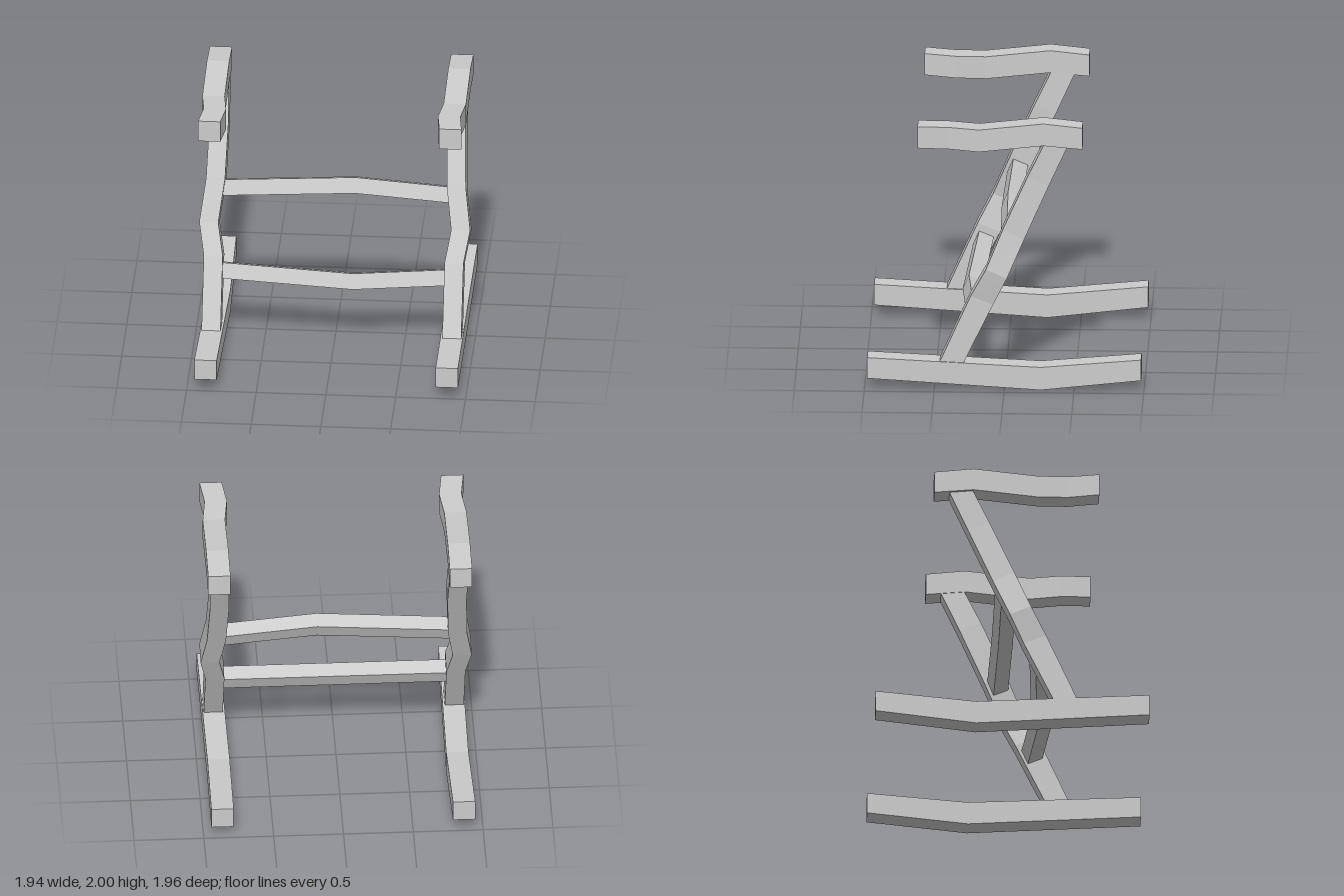
import * as THREE from 'three';

const material = new THREE.MeshStandardMaterial({ color: 0xcccccc, flatShading: true });

// Closed four-sided beam through cross-sections, corners anticlockwise about the travel direction
function beam(name, sections) {
  const positions = [];
  const quad = (a, b, c, d) => [a, b, c, a, c, d].forEach(p => positions.push(...p));
  for (let i = 0; i < sections.length - 1; i++) {
    const s = sections[i], t = sections[i + 1];
    for (let j = 0; j < 4; j++) {
      const k = (j + 1) % 4;
      quad(s[j], s[k], t[k], t[j]);
    }
  }
  const first = sections[0], last = sections[sections.length - 1];
  quad(first[0], first[3], first[2], first[1]);
  quad(last[0], last[1], last[2], last[3]);

  const geometry = new THREE.BufferGeometry();
  geometry.setAttribute('position', new THREE.Float32BufferAttribute(positions, 3));
  geometry.computeVertexNormals();
  const mesh = new THREE.Mesh(geometry, material);
  mesh.name = name;
  return mesh;
}

// Mirror a left-hand beam to the right; the travel reverses to keep faces outward
const mirrored = sections =>
  sections.map(s => s.map(([x, y, z]) => [-x, y, z])).reverse();

// Front-to-back bars: points are [centre x, bottom y, top y, z], listed from the back
const lengthwise = points => points.map(([x, y0, y1, z]) => [
  [x - 0.08, y0, z], [x + 0.08, y0, z], [x + 0.08, y1, z], [x - 0.08, y1, z],
]);

// Leaning posts: points are [centre x, front z, front y, back z, back y], listed from the foot
const upright = points => points.map(([x, zf, yf, zb, yb]) => [
  [x - 0.068, yb, zb], [x - 0.068, yf, zf], [x + 0.068, yf, zf], [x + 0.068, yb, zb],
]);

// Tilted square cross rail: points are [x, y, z] of the section centre
const crosswise = points => points.map(([x, y, z]) => [
  [x, y + 0.075, z + 0.03], [x, y - 0.03, z + 0.075],
  [x, y - 0.075, z - 0.03], [x, y + 0.03, z - 0.075],
]);

export function createModel() {
  const group = new THREE.Group();
  group.name = 'rockingChairFrame';

  const sideParts = {
    Runner: lengthwise([
      [0.865, 0.08, 0.235, -0.98],
      [0.855, 0, 0.17, -0.26],
      [0.865, 0.08, 0.235, 0.98],
    ]),
    Armrest: lengthwise([
      [0.865, 1.81, 1.97, -0.56],
      [0.865, 1.835, 2, -0.28],
      [0.865, 1.785, 1.95, 0.18],
      [0.84, 1.797, 1.96, 0.4],
      [0.865, 1.81, 1.97, 0.62],
    ]),
    Post: upright([
      [0.863, 0.47, 0.185, 0.30, 0.18],
      [0.863, 0.24, 0.70, 0.08, 0.635],
      [0.903, 0.13, 0.91, -0.02, 0.845],
      [0.863, 0.01, 1.20, -0.14, 1.12],
      [0.85, -0.165, 1.59, -0.32, 1.53],
      [0.858, -0.30, 1.87, -0.465, 1.85],
    ]),
  };
  for (const [name, sections] of Object.entries(sideParts)) {
    group.add(beam('left' + name, sections));
    group.add(beam('right' + name, mirrored(sections)));
  }

  // Cross rails, bent slightly off centre
  group.add(beam('upperRail', crosswise([
    [-0.83, 1.105, -0.045], [0.14, 1.163, -0.035], [0.83, 1.105, -0.045],
  ])));
  group.add(beam('lowerRail', crosswise([
    [-0.83, 0.566, 0.198], [0.14, 0.533, 0.245], [0.83, 0.566, 0.198],
  ])));

  return group;
}
